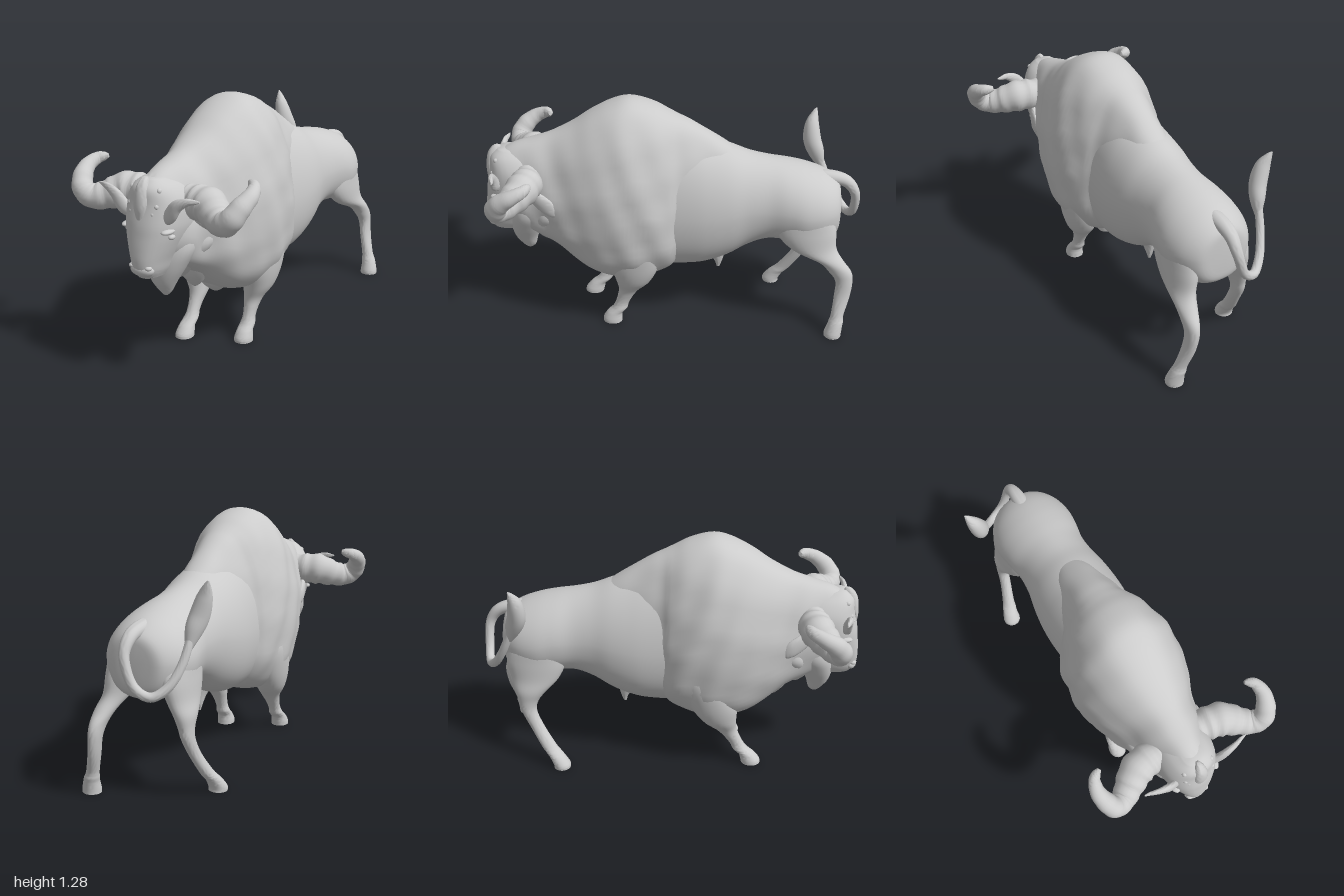
import * as THREE from 'three';
import { toCreasedNormals } from 'three/addons/utils/BufferGeometryUtils.js';

const V = (x, y, z) => new THREE.Vector3(x, y, z);
const pw = (c, e) => Math.sign(c) * Math.abs(c) ** e;

// Catmull-Rom through rows of numbers, k steps per span
function smooth(rows, k = 5) {
  const out = [], last = rows.length - 1;
  for (let i = 0; i < last; i++) {
    const [a, b, c, d] = [i - 1, i, i + 1, i + 2].map(j => rows[Math.min(last, Math.max(0, j))]);
    for (let s = 0; s < k; s++) {
      const t = s / k;
      out.push(b.map((_, m) => 0.5 * (2 * b[m] + (c[m] - a[m]) * t
        + (2 * a[m] - 5 * b[m] + 4 * c[m] - d[m]) * t * t
        + (3 * b[m] - a[m] - 3 * c[m] + d[m]) * t * t * t)));
    }
  }
  out.push(rows[last]);
  return out;
}

// Skin closed rings and cap both ends; winding is turned outward by signed volume
function loft(rings) {
  const n = rings[0].length, pts = rings.flat(), idx = [];
  for (let i = 0; i < rings.length - 1; i++) for (let j = 0; j < n; j++) {
    const a = i * n + j, b = i * n + (j + 1) % n;
    idx.push(a, b, a + n, b, b + n, a + n);
  }
  [rings[0], rings[rings.length - 1]].forEach((r, end) => {
    const base = end ? (rings.length - 1) * n : 0;
    const c = r.reduce((s, p) => s.add(p), V(0, 0, 0)).divideScalar(n);
    pts.push(c);
    for (let j = 0; j < n; j++) {
      const a = base + j, b = base + (j + 1) % n;
      if (end) idx.push(a, b, pts.length - 1); else idx.push(b, a, pts.length - 1);
    }
  });
  let vol = 0;
  for (let i = 0; i < idx.length; i += 3)
    vol += pts[idx[i]].dot(V(0, 0, 0).crossVectors(pts[idx[i + 1]], pts[idx[i + 2]]));
  if (vol < 0) idx.reverse();
  const g = new THREE.BufferGeometry().setFromPoints(pts);
  g.setIndex(idx);
  return toCreasedNormals(g, 1.0);
}

const circle = (n, f) => Array.from({ length: n }, (_, j) => f(Math.cos(j / n * 2 * Math.PI), Math.sin(j / n * 2 * Math.PI)));

// Upright rings along z: [z, bottom, top, halfWidth, yOfWidest]; flat blunts the ridge of the back
const trunk = (rows, eu, el, flat = 0, shag = 0) => loft(smooth(rows).map(([z, yb, yt, w, ym]) =>
  circle(56, (c, s) => {
    const h = pw(s, s > 0 ? eu : el);
    const y = ym + (s > 0 ? ((1 + flat) * h - flat * h ** 8) * (yt - ym) : h * (ym - yb));
    const x = w * pw(c, s > 0 ? eu : el) * (1 + .06 * Math.min(0, h));
    const bump = shag * c * (Math.sin(17 * z + 9 * y) * Math.sin(21 * y - 8 * z) + 0.5 * Math.sin(38 * z - 13 * y));
    return V(x + bump, y, z);
  })));

// Level rings along y: [y, x, z, rx, rz]
const column = (rows, e = 1) => loft(smooth(rows).map(([y, x, z, rx, rz]) =>
  circle(28, (c, s) => V(x + rx * pw(c, e), y, z + rz * pw(s, e)))));

// Rings square to a path: [x, y, z, r1 along ref, r2 across]; mod varies the radius
function limb(rows, ref, k = 6, mod = () => 1) {
  const s = smooth(rows, k), P = s.map(r => V(r[0], r[1], r[2]));
  return loft(s.map((r, i) => {
    const t = V(0, 0, 0).subVectors(P[Math.min(i + 1, P.length - 1)], P[Math.max(i - 1, 0)]).normalize();
    const u = ref.clone().addScaledVector(t, -ref.dot(t)).normalize(), v = V(0, 0, 0).crossVectors(t, u);
    const m = mod(i / (s.length - 1));
    return circle(20, (c, q) => P[i].clone().addScaledVector(u, c * r[3] * m).addScaledVector(v, q * r[4] * m));
  }));
}

export function createModel() {
  const model = new THREE.Group();
  const mat = new THREE.MeshStandardMaterial({ color: 0xcccccc });
  const add = (name, geo) => {
    const m = new THREE.Mesh(geo, mat);
    m.name = name;
    model.add(m);
  };
  const ball = (name, x, y, z, rx, ry, rz) => add(name, new THREE.SphereGeometry(1, 18, 12).scale(rx, ry, rz).translate(x, y, z));

  // Smooth hindquarters
  add('hindBody', trunk([
    [-.885, .6, .76, .06, .68], [-.872, .53, .82, .14, .68], [-.8, .49, .872, .2, .68],
    [-.7, .49, .91, .226, .68], [-.6, .5, .935, .217, .7], [-.5, .5, .955, .2, .7],
    [-.4, .46, .98, .205, .7], [-.3, .4, 1.02, .225, .68], [-.2, .36, 1.05, .236, .66],
    [-.1, .34, 1.08, .236, .65], [.1, .33, 1.12, .22, .65]], 1.04, .82));

  // Shaggy hump, shoulders and neck; its back edge sinks into the flanks
  add('maneAndHump', trunk([
    [-.33, .75, 1.0, .1, .85], [-.22, .6, 1.075, .155, .75], [-.1, .45, 1.15, .195, .68],
    [-.03, .38, 1.185, .22, .66], [.02, .335, 1.21, .255, .66], [.1, .3, 1.25, .285, .69],
    [.22, .275, 1.28, .305, .71], [.32, .28, 1.255, .3, .71], [.42, .31, 1.205, .276, .71],
    [.52, .38, 1.14, .238, .71], [.62, .46, 1.09, .195, .72], [.72, .52, 1.055, .165, .74],
    [.82, .57, 1.025, .135, .78], [.9, .65, .985, .1, .82]], 1.12, .66, .09, .007));

  // Head
  add('head', column([
    [1.0, 0, .86, .05, .05], [.96, 0, .82, .105, .13], [.89, 0, .79, .145, .17],
    [.8, 0, .785, .15, .195], [.74, 0, .79, .14, .198], [.68, 0, .81, .118, .185],
    [.62, 0, .84, .092, .158], [.57, 0, .86, .074, .13], [.535, 0, .87, .055, .095]], .85));
  ball('nosePad', 0, .578, .96, .066, .035, .036);
  ball('mouth', 0, .545, .92, .052, .02, .05);
  add('foreheadCrest', limb([[0, .81, .965, .015, .01], [0, .88, .958, .036, .022], [0, .95, .94, .034, .03],
    [0, .99, .918, .022, .025], [0, 1.005, .9, .008, .01]], V(1, 0, 0)));

  // Beard, then overlapping ruff layers stepping back to the chest: [top, tip, z, halfWidth, depth]
  for (const [top, tip, z, w, d] of [[.76, .39, .785, .15, .1], [.74, .445, .67, .178, .1], [.72, .355, .55, .18, .11], [.54, .265, .37, .19, .12]]) {
    const at = t => top + (tip - top) * t;
    add(z > .75 ? 'beard' : 'ruffLayer', column([[at(0), 0, z - .03, w * .9, d * .8], [at(.3), 0, z - .02, w, d],
      [at(.55), 0, z, w * .75, d * .88], [at(.78), 0, z + .01, w * .42, d * .62], [at(.94), 0, z, w * .18, d * .35], [at(1), 0, z, .008, .014]], .9));
  }
  add('sheath', column([[.42, 0, -.2, .06, .1], [.36, 0, -.235, .032, .05], [.31, 0, -.25, .018, .022], [.27, 0, -.25, .006, .008]]));

  for (const s of [1, -1]) {
    const side = s > 0 ? 'left' : 'right';

    // Heavy ringed horn, sweeping out, forward and curling back
    add(side + 'Horn', limb([
      [.1, .88, .74, .07, .07], [.17, .875, .745, .084, .082], [.25, .872, .765, .086, .085],
      [.32, .847, .81, .072, .072], [.38, .838, .85, .062, .06], [.43, .868, .862, .056, .054],
      [.46, .92, .83, .049, .049], [.475, .96, .775, .039, .039], [.462, .985, .722, .031, .029],
      [.437, .994, .7, .024, .022], [.415, .998, .69, .012, .01]].map(r => [s * r[0], ...r.slice(1)]), V(0, 1, .25), 12,
      t => 1 + .05 * Math.max(0, 1 - t * 1.1) * Math.sin(t * 75)));

    // Slim brow horn
    add(side + 'BrowHorn', limb([[s * .09, .82, .9, .028, .02], [s * .135, .85, .915, .036, .02], [s * .175, .9, .92, .03, .018],
      [s * .225, .927, .915, .019, .013], [s * .262, .932, .905, .012, .009], [s * .29, .935, .9, .004, .004]], V(0, 1, 0)));

    // Drooping leaf ear
    add(side + 'Ear', limb([[s * .12, .82, .76, .025, .018], [s * .165, .79, .71, .04, .02], [s * .19, .75, .65, .045, .018],
      [s * .195, .715, .61, .03, .013], [s * .19, .7, .592, .006, .004]], V(0, 1, 0)));

    // Eye, lid, nostril and forehead knobs
    ball(side + 'Eye', s * .126, .74, .895, .014, .012, .02);
    ball(side + 'Brow', s * .114, .768, .905, .026, .014, .045);
    ball(side + 'Nostril', s * .046, .595, .972, .018, .012, .018);
    for (let i = 0; i < 4; i++)
      ball(side + 'ForeheadKnob', s * (.062 + .014 * (i % 2)), .85 + .035 * i, .945 - .011 * i, .012, .013, .014);

    // Shaggy shoulder and front leg, the right one striding ahead
    const [step, shift] = s > 0 ? [0, -.008] : [.125, .004];
    add(side + 'FrontLeg', column([
      [0, .147, .33, .047, .052], [.02, .147, .33, .047, .052], [.055, .147, .318, .041, .043],
      [.085, .146, .29, .038, .041], [.12, .146, .276, .032, .037], [.17, .147, .256, .037, .043], [.22, .15, .235, .05, .058],
      [.29, .168, .21, .075, .095], [.4, .187, .2, .084, .128], [.55, .195, .19, .085, .12], [.7, .18, .19, .05, .08]]
      .map(([y, x, z, a, b]) => [y, s * (x + shift), z + step * Math.max(0, 1 - y / .6), a, b]), .95));

    // Hind leg, the right one drawn forward under the body
    const hind = s > 0
      ? [[0, .26, -.872, .048, .046], [.02, .26, -.873, .048, .046], [.06, .255, -.882, .041, .041], [.085, .248, -.888, .038, .039], [.12, .238, -.893, .032, .034],
        [.22, .212, -.912, .029, .042], [.31, .2, -.918, .032, .046], [.37, .195, -.893, .038, .06], [.43, .185, -.84, .05, .068],
        [.5, .165, -.745, .061, .122]]
      : [[0, .275, -.57, .048, .046], [.02, .275, -.572, .048, .046], [.06, .268, -.596, .041, .043], [.085, .259, -.617, .038, .042], [.12, .248, -.645, .032, .041],
        [.22, .222, -.705, .029, .038], [.31, .208, -.746, .032, .042], [.37, .2, -.748, .038, .054], [.43, .19, -.735, .05, .085],
        [.5, .167, -.71, .061, .128]];
    hind.push([.6, .147, -.7, .075, .16], [.7, .13, -.69, .08, .14], [.8, .1, -.68, .05, .06]);
    add(side + 'HindLeg', column(hind.map(([y, x, ...r]) => [y, s * x, ...r])));
  }

  // Tail looping down to the right and rising into a leaf-shaped tuft
  const across = V(1, 0, .6).normalize();
  add('tail', limb([[0, .85, -.68, .02, .02], [0, .842, -.8, .04, .036], [0, .815, -.91, .034, .032], [-.005, .735, -.968, .026, .025],
    [-.05, .61, -.972, .023, .023], [-.13, .56, -.95, .023, .023], [-.2, .61, -.9, .022, .022],
    [-.24, .71, -.845, .021, .021], [-.255, .82, -.8, .02, .02]], across));
  add('tailTuft', limb([[-.25, .77, -.81, .015, .018], [-.262, .85, -.78, .038, .045], [-.28, .92, -.755, .044, .05],
    [-.302, 1.0, -.752, .038, .038], [-.322, 1.055, -.765, .019, .018], [-.334, 1.083, -.775, .004, .003]], across));

  return model;
}
